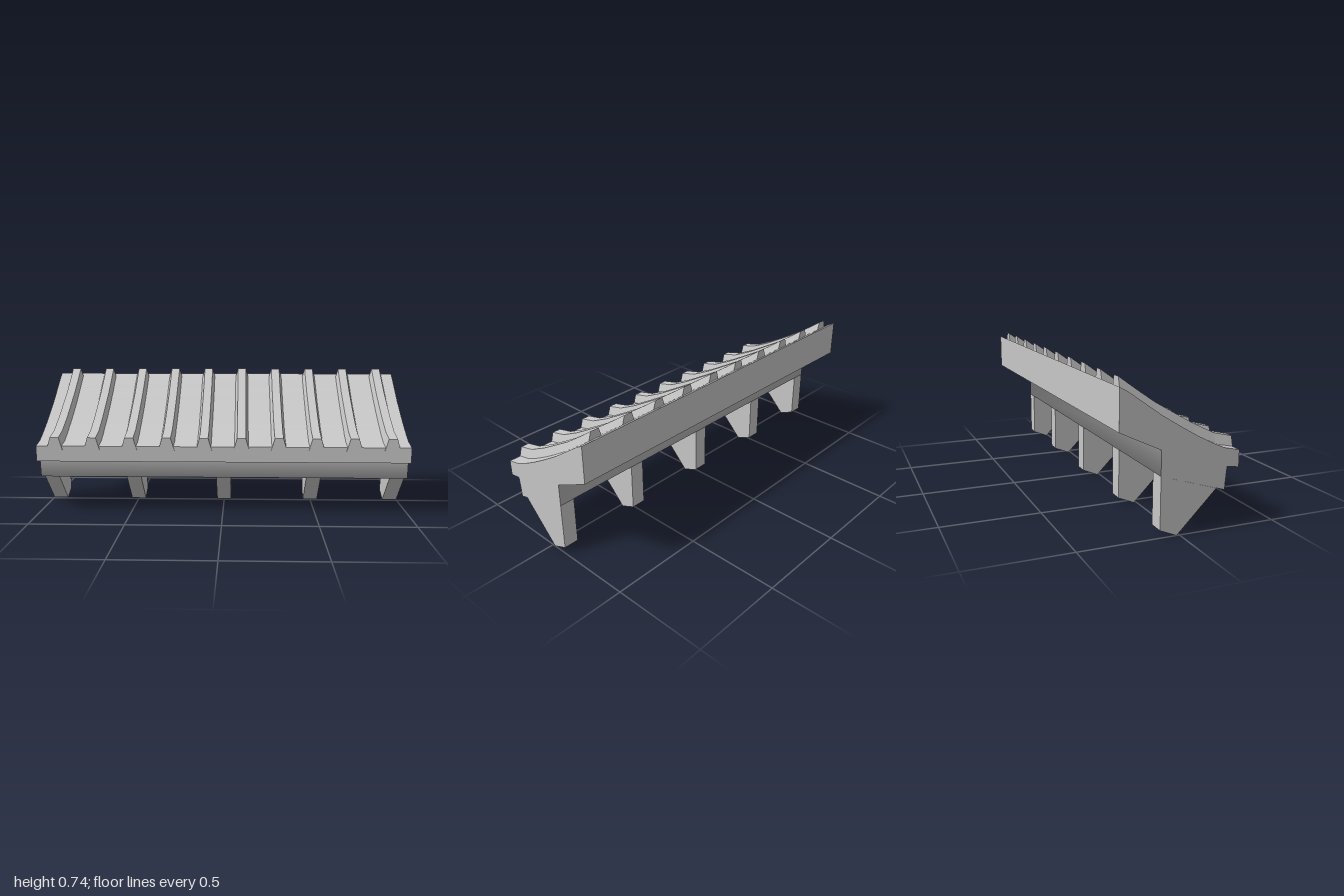
import * as THREE from 'three';

const stone = new THREE.MeshStandardMaterial({ color: 0xc8c8c8 });
stone.name = 'light grey';

function add(parent, name, geometry) {
  const mesh = new THREE.Mesh(geometry, stone);
  mesh.name = name;
  parent.add(mesh);
  return mesh;
}

// Grid of indexed quads between neighbouring rows of points
function loft(rows) {
  const n = rows[0].length, index = [];
  for (let i = 0; i < rows.length - 1; i++) {
    for (let j = 0; j < n - 1; j++) {
      const a = i * n + j, b = a + 1, c = b + n, d = a + n;
      index.push(a, b, c, a, c, d);
    }
  }
  const g = new THREE.BufferGeometry();
  g.setAttribute('position', new THREE.Float32BufferAttribute(rows.flat(2), 3));
  g.setIndex(index);
  g.computeVertexNormals();
  return g;
}

// Smooth strip along the full length, following a [z, y] profile
const strip = (profile) => loft(profile.map(([z, y]) => [[-1, y, z], [1, y, z]]));

const shapeOf = (points) => new THREE.Shape(points.map(([z, y]) => new THREE.Vector2(z, y)));

export function createModel() {
  const model = new THREE.Group();
  model.name = 'canopy';

  // Roof outline as [z, y], running front to back over the top and back underneath
  const top = [[0.3, 0.371], [0.225, 0.387], [0.16, 0.416], [0.08, 0.458], [0, 0.505],
    [-0.1, 0.567], [-0.19, 0.631], [-0.27, 0.688], [-0.303, 0.705]];
  const under = [[-0.303, 0.507], [-0.1, 0.41], [-0.1, 0.29], [0.228, 0.187], [0.238, 0.298]];
  const lip = [0.3, 0.288];

  const roof = new THREE.Group();
  roof.name = 'roof';
  model.add(roof);
  add(roof, 'roofTop', strip(top));
  add(roof, 'backFascia', strip([top[top.length - 1], under[0]]));
  add(roof, 'underside', strip(under));
  add(roof, 'lipUnderside', strip([under[4], lip]));
  add(roof, 'frontFascia', strip([lip, top[0]]));

  // End faces
  const outline = [...top, ...under, lip];
  const rightEnd = add(roof, 'rightEnd', new THREE.ShapeGeometry(shapeOf(outline)));
  rightEnd.rotation.y = -Math.PI / 2;
  rightEnd.position.x = -1;
  const leftEnd = add(roof, 'leftEnd',
    new THREE.ShapeGeometry(shapeOf(outline.map(([z, y]) => [-z, y]))));
  leftEnd.rotation.y = Math.PI / 2;
  leftEnd.position.x = 1;

  // Ribs: tapered sections [z, base y, top y] following the roof curve
  const stations = [[0.304, 0.35, 0.418], [0.21, 0.375, 0.441], [0.1, 0.425, 0.495],
    [0, 0.485, 0.553], [-0.1, 0.547, 0.612], [-0.19, 0.612, 0.675], [-0.275, 0.67, 0.737]];
  const sections = stations.map(([z, y0, y1]) =>
    [[-0.043, y0, z], [-0.023, y1, z], [0.023, y1, z], [0.043, y0, z]]);
  const ribBody = loft(sections).toNonIndexed();
  ribBody.computeVertexNormals();
  const [a, b, c, d] = sections[0];
  const ribFront = loft([[a, d], [b, c]]);
  const [e, f, g, h] = sections[sections.length - 1];
  const ribBack = loft([[f, g], [e, h]]);
  for (let i = 0; i < 10; i++) {
    const rib = new THREE.Group();
    rib.name = 'rib';
    rib.position.x = -0.9 + i * 0.2;
    add(rib, 'ribBody', ribBody);
    add(rib, 'ribFront', ribFront);
    add(rib, 'ribBack', ribBack);
    model.add(rib);
  }

  // Wedge brackets below the beam
  const width = 0.08;
  const bracket = new THREE.ExtrudeGeometry(
    shapeOf([[-0.1, 0.29], [-0.1, 0.036], [-0.015, 0], [0.185, 0.2]]),
    { depth: width, bevelEnabled: false });
  bracket.rotateY(-Math.PI / 2);
  for (const x of [-0.96, -0.5, 0, 0.5, 0.96]) {
    add(model, 'bracket', bracket).position.x = x + width / 2;
  }

  return model;
}
